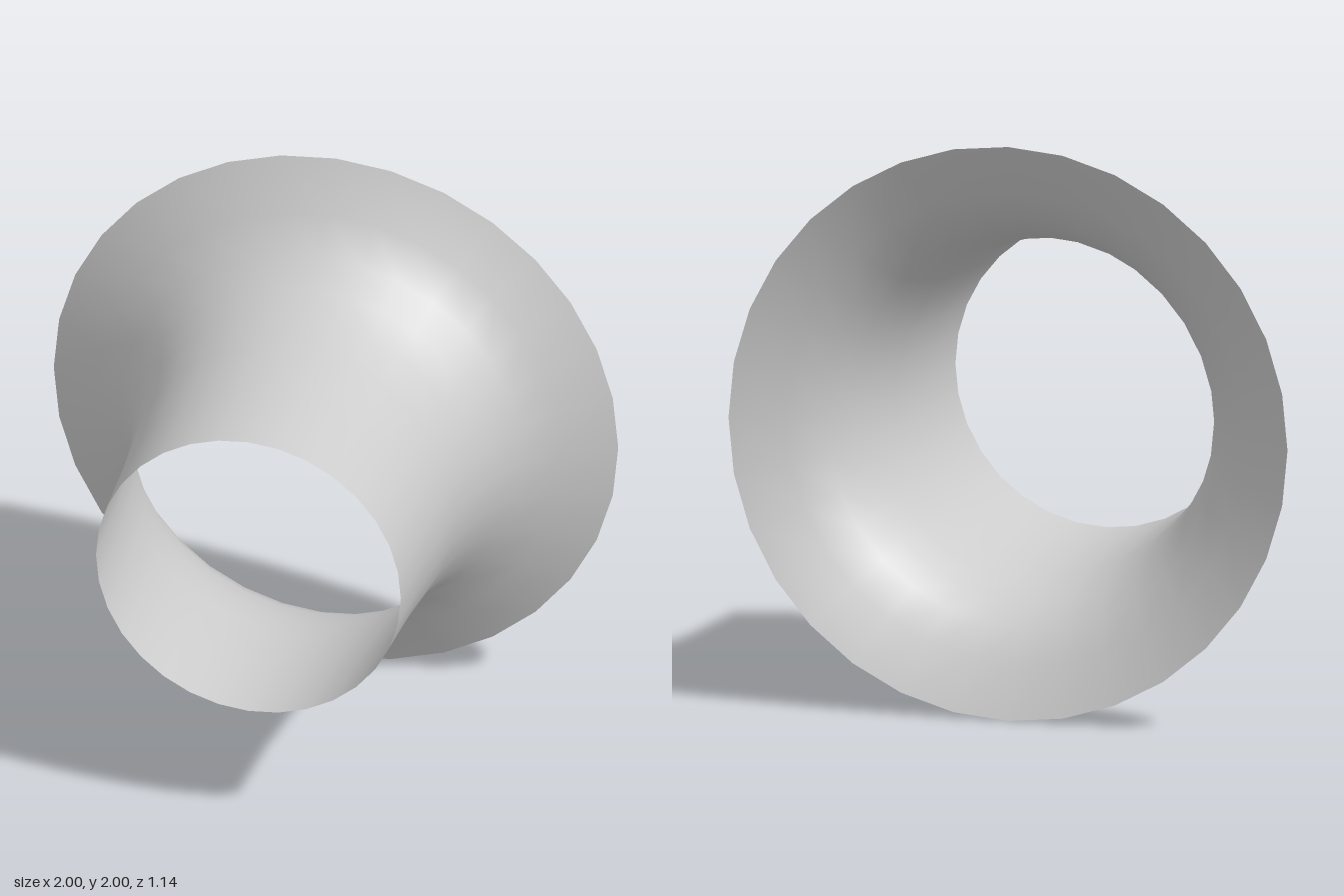
import * as THREE from 'three';

export function createModel() {
  const group = new THREE.Group();

  // Thin flared sleeve: [z, radius] from the wide back rim to the narrow front opening
  const profile = [
    [-0.57, 1.0], [-0.48, 0.825], [-0.385, 0.713], [-0.27, 0.648],
    [-0.15, 0.608], [0, 0.577], [0.28, 0.552], [0.57, 0.54],
  ].map(([z, r]) => new THREE.Vector2(r, z));

  const geometry = new THREE.LatheGeometry(profile, 32);
  geometry.rotateX(Math.PI / 2); // turn the lathe axis to +z

  const material = new THREE.MeshStandardMaterial({ color: 0xcccccc, side: THREE.DoubleSide });
  const horn = new THREE.Mesh(geometry, material);
  horn.name = 'flaredHorn';
  horn.position.y = 1;
  group.add(horn);

  return group;
}
